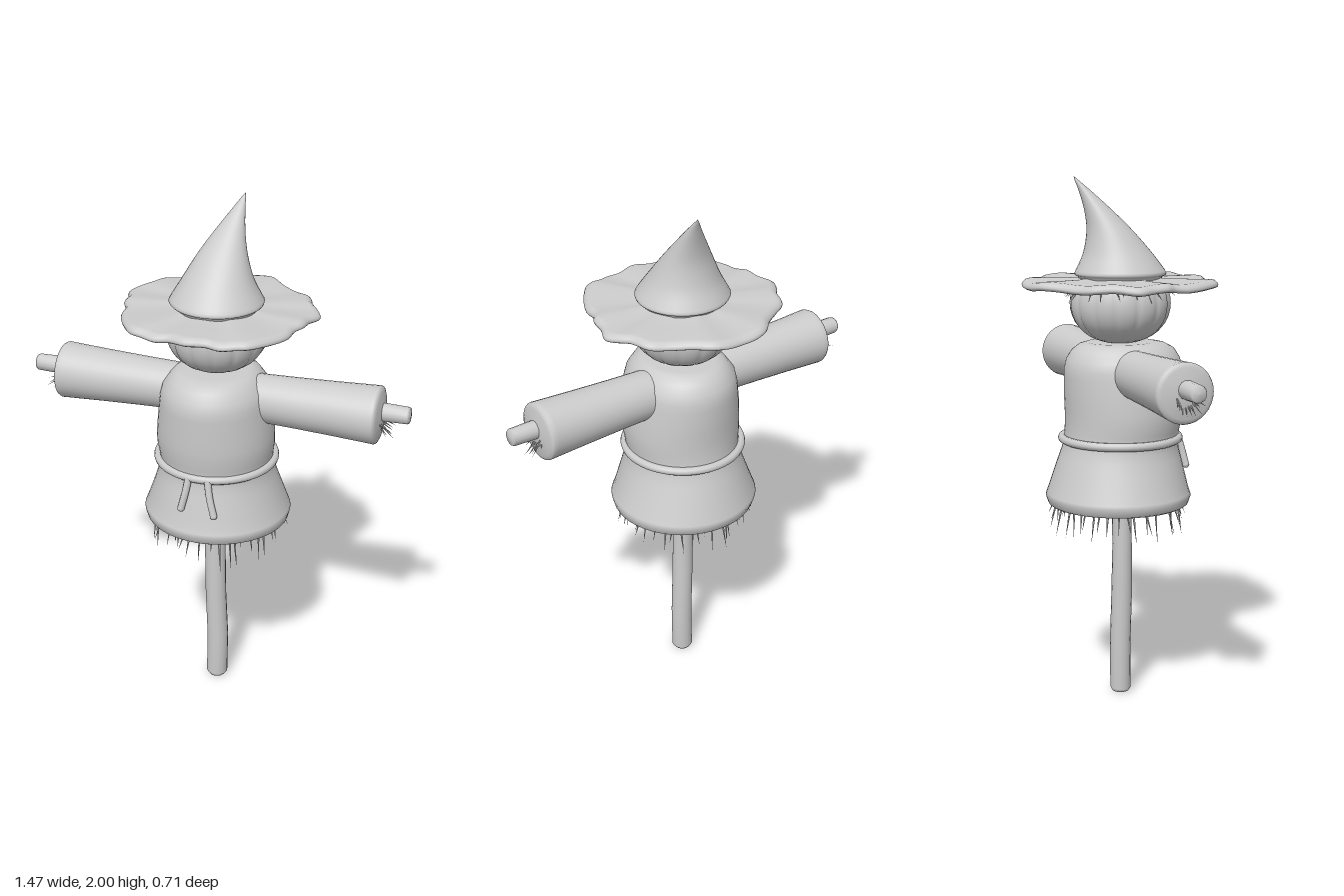
import * as THREE from 'three';

// Loft rings [y, rx, rz, cx, cz] listed bottom to top; shape(t) gives the unit outline
const circle = t => [Math.sin(t * Math.PI * 2), Math.cos(t * Math.PI * 2)];
function loft(rings, n = 40, shape = circle, lift = () => 0) {
  const pos = [], idx = [];
  rings.forEach(([y, rx, rz = rx, cx = 0, cz = 0]) => {
    for (let j = 0; j < n; j++) {
      const [x, z] = shape(j / n);
      pos.push(cx + x * rx, y + lift(j / n, rx), cz + z * rz);
    }
  });
  for (let i = 0; i < rings.length - 1; i++) {
    for (let j = 0; j < n; j++) {
      const a = i * n + j, b = i * n + (j + 1) % n;
      idx.push(a, b, b + n, a, b + n, a + n);
    }
  }
  const g = new THREE.BufferGeometry();
  g.setAttribute('position', new THREE.Float32BufferAttribute(pos, 3));
  g.setIndex(idx);
  g.computeVertexNormals();
  return g;
}

// Smooth a short list of rings with a spline through every column
function smoothRings(rings, steps) {
  const columns = rings[0].map((_, k) => new THREE.SplineCurve(rings.map((r, i) => new THREE.Vector2(i, r[k]))));
  return Array.from({ length: steps + 1 }, (_, i) => columns.map(c => c.getPoint(i / steps).y));
}

function seeded(seed) {
  return () => (seed = (seed * 16807) % 2147483647) / 2147483647;
}

export function createModel() {
  const model = new THREE.Group();
  model.name = 'scarecrow';
  const grey = new THREE.MeshStandardMaterial({ color: 0xcccccc });
  grey.name = 'light grey';
  const add = (name, geometry, parent = model) => {
    const mesh = new THREE.Mesh(geometry, grey);
    mesh.name = name;
    parent.add(mesh);
    return mesh;
  };
  const group = name => {
    const g = new THREE.Group();
    g.name = name;
    model.add(g);
    return g;
  };
  const V = (x, y, z) => new THREE.Vector3(x, y, z);
  const rand = seeded(77);

  // One straw: a thin spike from root to tip
  const straw = (parent, root, tip, r = 0.006) => {
    const dir = tip.clone().sub(root), len = dir.length();
    const m = add('straw', new THREE.ConeGeometry(r, len, 5), parent);
    m.position.copy(root).addScaledVector(dir, 0.5);
    m.quaternion.setFromUnitVectors(V(0, 1, 0), dir.normalize());
  };

  // Slightly crooked pole
  add('pole', loft([
    [0, 0, 0, 0, 0.01], [0.002, 0.032, 0.032, 0, 0.01], [0.015, 0.042, 0.04, 0, 0.01],
    [0.2, 0.042, 0.04, 0.003, 0.01], [0.4, 0.041, 0.04, -0.004, 0.013],
    [0.6, 0.041, 0.037, -0.006, 0.014], [0.85, 0.039, 0.037, -0.003, 0.01],
  ], 16));

  // Coat with a hollow, flared skirt
  add('coat', loft([
    [0.8, 0, 0], [0.79, 0.2, 0.2], [0.768, 0.25, 0.25], [0.765, 0.262, 0.258],
    [0.772, 0.275, 0.268], [0.8, 0.282, 0.278], [0.812, 0.277, 0.274],
    ...smoothRings([
      [0.83, 0.27, 0.268, 0, 0], [0.93, 0.234, 0.24, 0, 0.005], [1.01, 0.213, 0.219, 0, 0.01],
      [1.1, 0.223, 0.222, 0, 0.02], [1.2, 0.216, 0.226, 0, 0.02], [1.29, 0.204, 0.227, 0, 0.021],
    ], 12),
    [1.325, 0.195, 0.218, 0, 0.02], [1.36, 0.168, 0.196, 0, 0.02], [1.379, 0.145, 0.165, 0, 0.016],
    [1.387, 0.12, 0.13, 0, 0.01], [1.387, 0, 0, 0, 0.01],
  ], 48));

  // Rope belt and its two hanging ends
  const rope = group('ropeBelt');
  const ring = add('belt', new THREE.TorusGeometry(0.222, 0.016, 10, 56).rotateX(Math.PI / 2), rope);
  ring.position.set(-0.002, 1.022, 0.008);
  [
    [V(-0.035, 1.02, 0.232), V(-0.043, 0.965, 0.246), V(-0.056, 0.905, 0.258)],
    [V(0.04, 1.02, 0.232), V(0.052, 0.96, 0.246), V(0.072, 0.893, 0.258)],
  ].forEach(p => {
    add('ropeEnd', new THREE.TubeGeometry(new THREE.CatmullRomCurve3(p), 10, 0.014, 8), rope);
    const knob = add('ropeTip', new THREE.SphereGeometry(0.014, 10, 8), rope);
    knob.position.copy(p[2]);
  });

  // Straw below the hem
  const hem = group('hemStraw');
  for (let i = 0; i < 44; i++) {
    const a = (i + rand() * 0.8) / 44 * Math.PI * 2, r = 0.2 + rand() * 0.05;
    const s = r + 0.005 + rand() * 0.035, b = a + (rand() - 0.5) * 0.12;
    straw(hem, V(Math.sin(a) * r, 0.79, Math.cos(a) * r),
      V(Math.sin(b) * s, 0.65 + rand() * 0.07, Math.cos(b) * s));
  }

  // Sleeves, stick hands and wrist straw on both sides
  for (const side of [1, -1]) {
    const arm = group(side > 0 ? 'leftArm' : 'rightArm');
    arm.position.set(0, 1.28, 0.007);
    const sleeve = loft([
      [0.1, 0.088], [0.3, 0.094], [0.45, 0.1], [0.595, 0.107], [0.61, 0.108],
      [0.618, 0.104], [0.624, 0.09], [0.633, 0.035], [0.633, 0],
    ], 32).rotateZ(-side * Math.PI / 2);
    add('sleeve', sleeve, arm);
    const stick = loft([
      [0.58, 0.034], [0.65, 0.034], [0.722, 0.032], [0.73, 0.028], [0.733, 0],
    ], 14).rotateZ(-side * Math.PI / 2);
    add('stickHand', stick, arm).position.y = 0.015;
    for (let i = 0; i < 12; i++) {
      const a = (i / 11 - 0.5) * 2.6, r = 0.06 + rand() * 0.025;
      straw(arm, V(side * 0.615, -0.005 - Math.cos(a) * 0.02, Math.sin(a) * 0.03),
        V(side * (0.64 + rand() * 0.05), -Math.cos(a) * r, Math.sin(a) * r * 0.8), 0.005);
    }
  }

  // Ribbed pumpkin head
  const ribbed = t => {
    const k = 0.965 + 0.035 * Math.sqrt(Math.abs(Math.cos(t * Math.PI * 14)));
    return circle(t).map(v => v * k);
  };
  const headRings = Array.from({ length: 21 }, (_, i) => {
    const a = (i / 20 - 0.5) * Math.PI;
    return [1.532 + 0.15 * Math.sin(a), 0.19 * Math.cos(a) ** 0.85, 0.19 * Math.cos(a) ** 0.85, 0, 0.008];
  });
  add('head', loft(headRings, 112, ribbed));

  // Hair straw peeking out under the brim
  const hair = group('hairStraw');
  for (let i = 0; i < 22; i++) {
    const a = 0.45 + (i + rand() * 0.8) / 22 * (Math.PI * 2 - 0.9), r = 0.165;
    const s = 0.2 + rand() * 0.025, b = a + (rand() - 0.5) * 0.2;
    straw(hair, V(Math.sin(a) * r, 1.605, Math.cos(a) * r),
      V(Math.sin(b) * s, 1.535 + rand() * 0.04, Math.cos(b) * s), 0.006);
  }

  // Wavy hat brim from a mirrored half outline (front to back)
  const half = [
    [0.07, 0.33], [0.12, 0.335], [0.17, 0.322], [0.215, 0.312], [0.27, 0.245], [0.313, 0.16],
    [0.32, 0.1], [0.342, 0.06], [0.348, 0.005], [0.37, -0.055], [0.348, -0.1], [0.318, -0.14],
    [0.29, -0.207], [0.235, -0.24], [0.17, -0.285], [0.115, -0.338], [0.065, -0.355],
  ];
  const outline = new THREE.CatmullRomCurve3([
    [0, 0.35], ...half, [0, -0.355], ...half.slice().reverse().map(([x, z]) => [-x, z]),
  ].map(([x, z]) => V(x, 0, z)), true);
  const wavy = t => {
    const p = outline.getPoint(t);
    return [p.x, p.z];
  };
  const hat = group('hat');
  add('brim', loft([
    [1.6, 0.3], [1.6, 0.7], [1.593, 0.93], [1.592, 0.97], [1.597, 0.995], [1.604, 1],
    [1.612, 0.99], [1.621, 0.96], [1.624, 0.92], [1.624, 0.7], [1.626, 0.45], [1.635, 0.3],
  ], 144, wavy, (t, s) => 0.004 * s * Math.cos(t * Math.PI * 18)), hat);

  // Bent pointed crown
  add('crown', loft([
    [1.615, 0.155, 0.155, 0, 0.008], [1.632, 0.158, 0.158, 0, 0.008], [1.638, 0.17, 0.17, 0, 0.008],
    [1.645, 0.174, 0.172, -0.002, 0.008], [1.653, 0.169, 0.168, -0.002, 0.008],
    ...smoothRings([
      [1.662, 0.164, 0.163, -0.002, 0.007], [1.72, 0.131, 0.128, -0.001, -0.003],
      [1.8, 0.093, 0.086, 0.006, -0.031], [1.87, 0.06, 0.054, 0.018, -0.068],
      [1.94, 0.028, 0.025, 0.035, -0.113], [1.985, 0.008, 0.007, 0.047, -0.146], [2, 0, 0, 0.051, -0.156],
    ], 24),
  ], 40), hat);

  return model;
}
